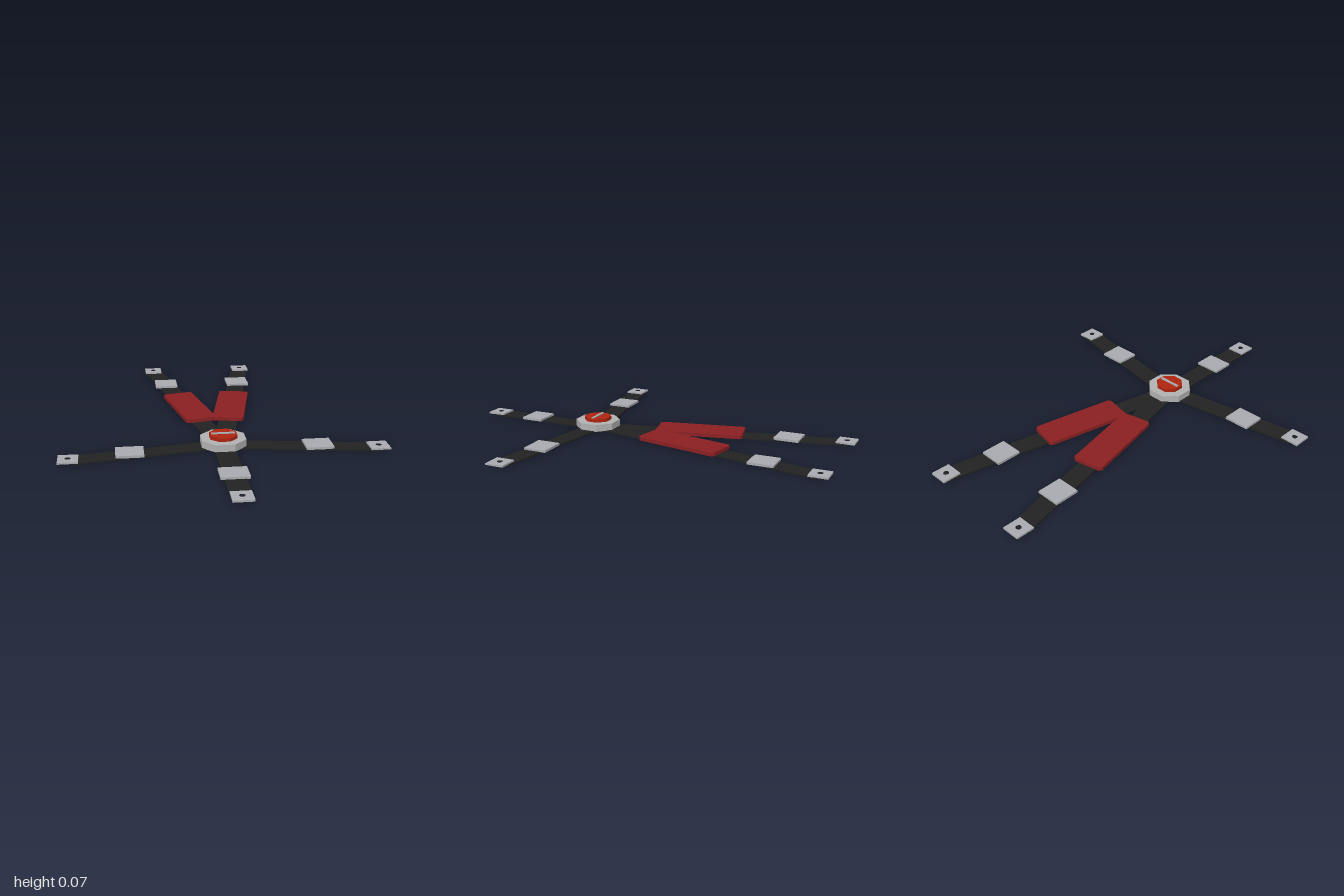
import * as THREE from 'three';

const mat = (name, color) => {
  const m = new THREE.MeshStandardMaterial({ color });
  m.name = name;
  return m;
};

export function createModel() {
  const webbing = mat('black webbing', 0x222222);
  const padRed = mat('pad red', 0x8c2022);
  const steel = mat('steel', 0xa9abb0);
  const hubGrey = mat('hub grey', 0xb2b2b2);
  const knobRed = mat('knob red', 0xb02410);
  const holeDark = mat('hole dark', 0x1c1e22);

  const model = new THREE.Group();
  const hubZ = 0.33;

  const add = (name, geometry, material, x, y, z, turn = 0) => {
    const mesh = new THREE.Mesh(geometry, material);
    mesh.name = name;
    mesh.position.set(x, y, z);
    mesh.rotation.y = turn;
    model.add(mesh);
    return mesh;
  };
  const box = (name, material, [w, h, d], x, bottom, z, turn) =>
    add(name, new THREE.BoxGeometry(w, h, d), material, x, bottom + h / 2, z, turn);

  // Octagonal disc with flats facing the axes
  const octagon = (name, material, apothem, bottom, top) => {
    const r = apothem / Math.cos(Math.PI / 8);
    const g = new THREE.CylinderGeometry(r, r, top - bottom, 8).rotateY(Math.PI / 8).toNonIndexed();
    g.computeVertexNormals();
    add(name, g, material, 0, (bottom + top) / 2, hubZ);
  };

  // Slab with clipped corners for the shoulder pads
  const padGeometry = (w, l, h) => {
    const a = w / 2, b = l / 2, c = 0.012;
    const outline = [[-a + c, -b], [a - c, -b], [a, -b + c], [a, b - c],
      [a - c, b], [-a + c, b], [-a, b - c], [-a, -b + c]];
    const shape = new THREE.Shape(outline.map(([x, y]) => new THREE.Vector2(x, y)));
    return new THREE.ExtrudeGeometry(shape, { depth: h, bevelEnabled: false }).rotateX(-Math.PI / 2);
  };

  // One strap from the hub to its anchor, with adjuster, end plate and bolt hole
  const strap = (name, ex, ez, [bx, bz, bw, bd]) => {
    const dx = ex, dz = ez - hubZ;
    const turn = Math.atan2(dx, dz);
    box(name + 'Strap', webbing, [0.1, 0.008, Math.hypot(dx, dz)], ex / 2, 0, (ez + hubZ) / 2, turn);
    box(name + 'Adjuster', steel, [bw, 0.012, bd], bx, 0.007, bz);
    box(name + 'AnchorPlate', steel, [0.096, 0.009, 0.096], ex, 0.007, ez);
    add(name + 'BoltHole', new THREE.CylinderGeometry(0.014, 0.014, 0.002, 10), holeDark, ex, 0.0158, ez);
    return turn;
  };

  for (const [side, s] of [['left', 1], ['right', -1]]) {
    const turn = strap(side + 'Shoulder', s * 0.27, -0.952, [s * 0.21, -0.667, 0.125, 0.13]);
    add(side + 'ShoulderPad', padGeometry(0.162, 0.452, 0.019), padRed, s * 0.115, 0.008, -0.217, turn);
    strap(side + 'Lap', s * 0.742, 0.452, [s * 0.455, 0.4, 0.135, 0.12]);
  }
  strap('crotch', 0, 0.952, [0, 0.706, 0.135, 0.116]);

  // Central release buckle
  octagon('buckleHub', hubGrey, 0.108, 0.006, 0.043);
  octagon('releaseKnob', knobRed, 0.066, 0.043, 0.061);
  box('knobBar', steel, [0.115, 0.006, 0.014], 0, 0.06, hubZ);

  return model;
}
